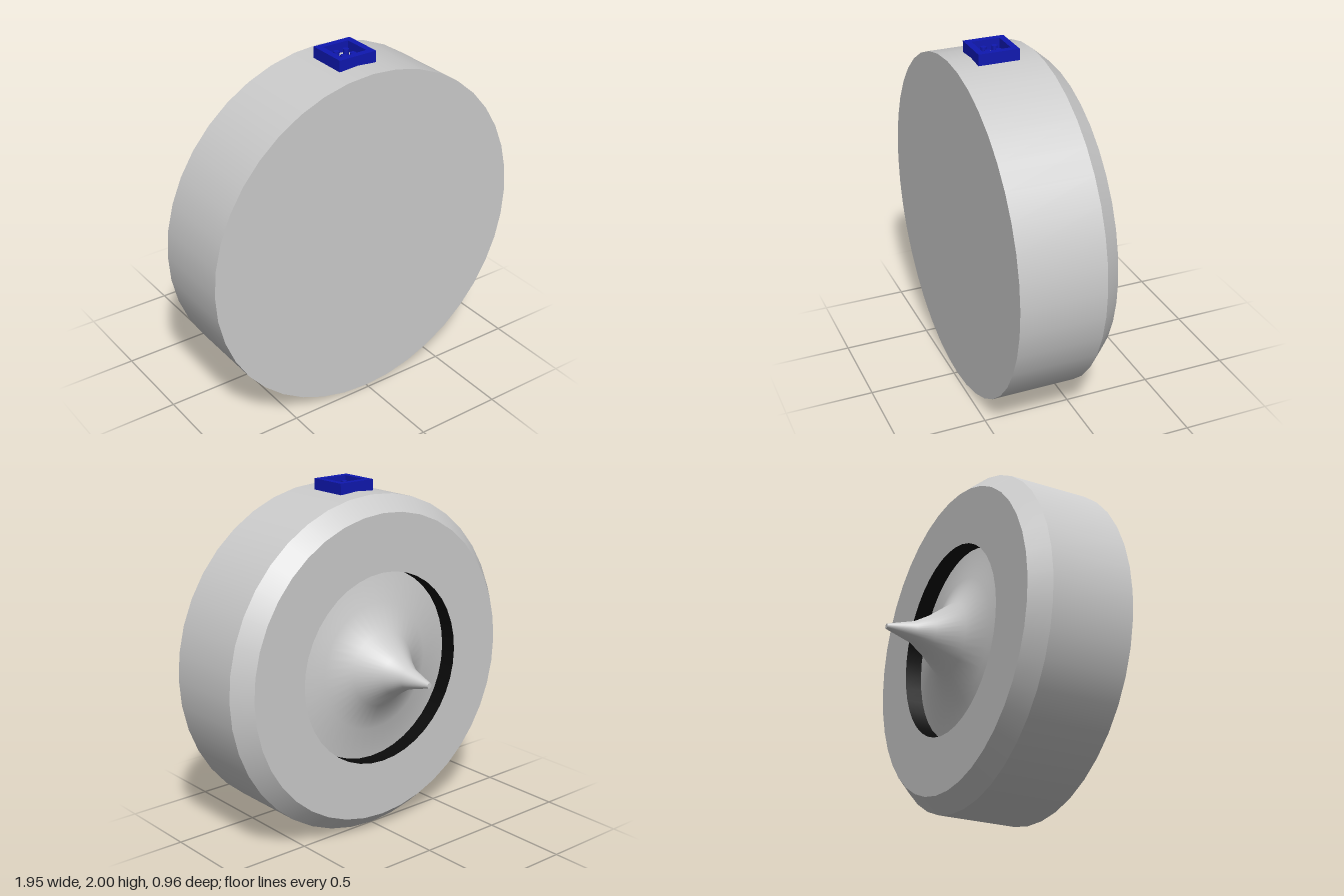
import * as THREE from 'three';

const R = 0.9725;      // drum radius, also the height of its axis
const SEGMENTS = 40;

const grey = new THREE.MeshStandardMaterial({ color: 0xcccccc });
const black = new THREE.MeshStandardMaterial({ color: 0x0a0a0a });
const blue = new THREE.MeshStandardMaterial({ color: 0x0f18b0 });

// Surface turned about the drum axis; points are [radius, distance to the rear]
function turned(name, points, material = grey) {
  const geometry = new THREE.LatheGeometry(points.map(([r, d]) => new THREE.Vector2(r, d)), SEGMENTS);
  geometry.rotateX(-Math.PI / 2);
  const mesh = new THREE.Mesh(geometry, material);
  mesh.name = name;
  mesh.position.y = R;
  return mesh;
}

export function createModel() {
  const model = new THREE.Group();
  model.name = 'spikedDrum';

  // Drum shell, one strip per surface so the edges stay sharp
  model.add(
    turned('frontFace', [[0, -0.48], [R, -0.48]]),
    turned('drumSide', [[R, -0.48], [R, 0]]),
    turned('rearChamfer', [[R, 0], [0.885, 0.1]]),
    turned('rearRing', [[0.885, 0.1], [0.555, 0.1]]),
    turned('recessWall', [[0.555, 0.1], [0.555, 0]], black),
  );

  // Flared cone rising from the recess to a blunt tip
  model.add(
    turned('flaredCone', [[0.555, 0], [0.37, 0.035], [0.215, 0.1], [0.115, 0.23], [0.062, 0.32], [0.015, 0.48]]),
    turned('coneTip', [[0.015, 0.48], [0, 0.48]]),
  );

  // Square socket on top: open frame with four pins
  const socket = new THREE.Group();
  socket.name = 'socket';
  socket.position.set(0, 1.937, 0.235);
  const square = (target, h) => {
    target.moveTo(-h, -h);
    target.lineTo(h, -h);
    target.lineTo(h, h);
    target.lineTo(-h, h);
    target.closePath();
    return target;
  };
  const outline = square(new THREE.Shape(), 0.115);
  outline.holes.push(square(new THREE.Path(), 0.079));
  const frameGeometry = new THREE.ExtrudeGeometry(outline, { depth: 0.063, bevelEnabled: false });
  frameGeometry.rotateX(-Math.PI / 2);
  const frame = new THREE.Mesh(frameGeometry, blue);
  frame.name = 'socketFrame';
  socket.add(frame);

  const pinGeometry = new THREE.CylinderGeometry(0.016, 0.016, 0.045, 16);
  for (const x of [-0.031, 0.031]) {
    for (const z of [-0.031, 0.031]) {
      const pin = new THREE.Mesh(pinGeometry, blue);
      pin.name = 'socketPin';
      pin.position.set(x, 0.0225, z);
      socket.add(pin);
    }
  }
  model.add(socket);

  return model;
}
